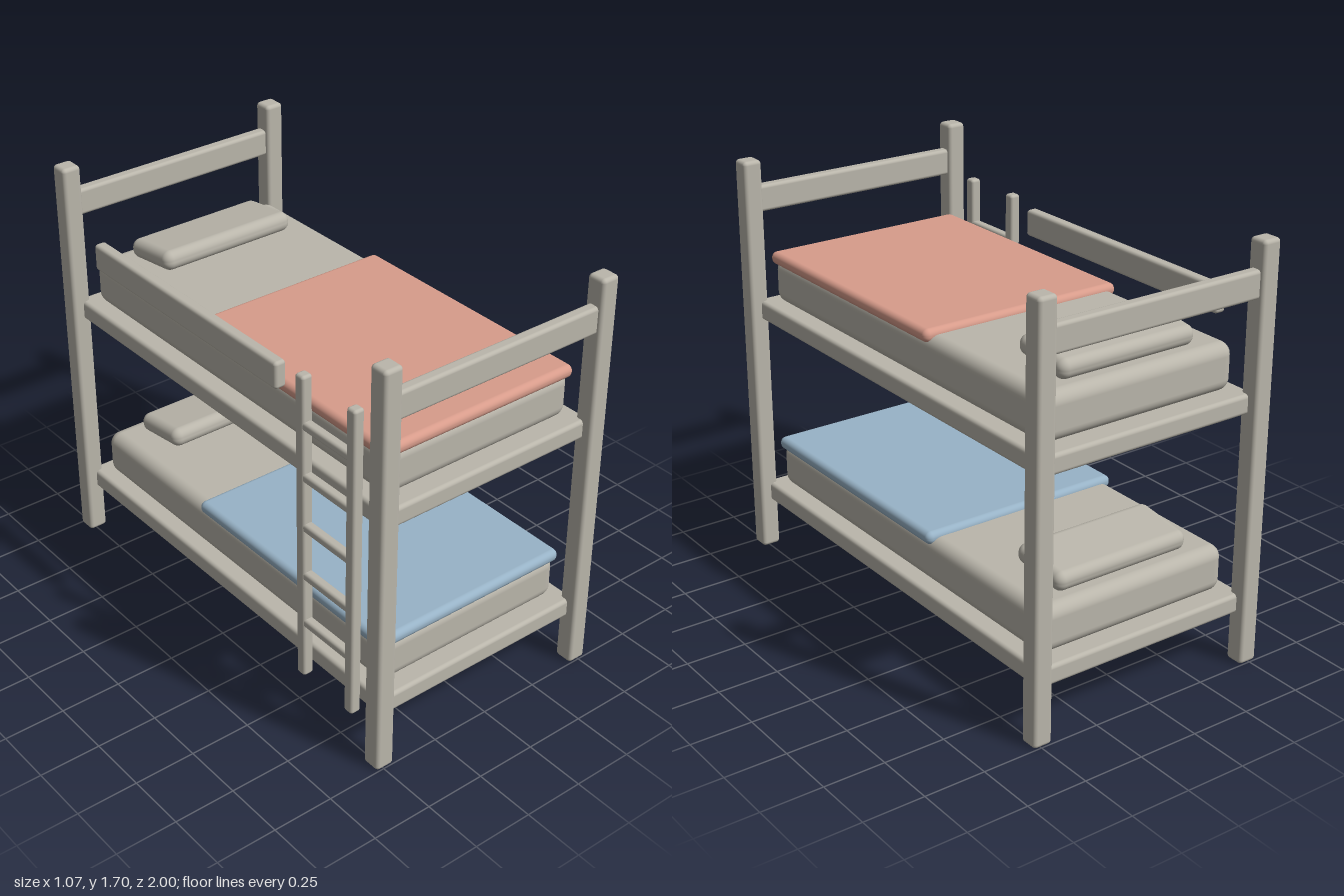
import * as THREE from 'three';
import { RoundedBoxGeometry } from 'three/addons/geometries/RoundedBoxGeometry.js';

const material = (name, color) => {
  const m = new THREE.MeshStandardMaterial({ color });
  m.name = name;
  return m;
};

export function createModel() {
  const model = new THREE.Group();
  model.name = 'bunkBed';
  const grey = material('warm grey', 0xbab6ab);
  const coral = material('coral blanket', 0xd89c8b);
  const blue = material('blue blanket', 0x98b3c7);

  // Rounded box given by its size, centre and edge radius
  const block = (parent, name, mat, size, centre, radius = 0.014, segments = 3) => {
    const mesh = new THREE.Mesh(new RoundedBoxGeometry(...size, segments, radius), mat);
    mesh.name = name;
    mesh.position.set(...centre);
    parent.add(mesh);
    return mesh;
  };

  // Corner posts and the high rail across each end
  for (const z of [-0.96, 0.96]) {
    for (const x of [-0.492, 0.492]) {
      block(model, 'post', grey, [0.08, 1.7, 0.08], [x, 0.85, z], 0.016);
    }
    block(model, 'endRail', grey, [0.96, 0.11, 0.05], [0, 1.535, z]);
  }

  // Two bunks: base, mattress, blanket and tilted pillow
  const bunk = (name, y, blanketMaterial) => {
    const group = new THREE.Group();
    group.name = name;
    group.position.y = y;
    block(group, 'base', grey, [0.97, 0.08, 1.92], [0, 0.04, 0], 0.016);
    block(group, 'mattress', grey, [0.87, 0.19, 1.8], [0, 0.175, 0], 0.05, 5);
    block(group, 'blanket', blanketMaterial, [0.89, 0.053, 1.12], [0, 0.267, 0.345], 0.025, 4);
    const pillow = block(group, 'pillow', grey, [0.61, 0.08, 0.265], [0, 0.317, -0.703], 0.036, 5);
    pillow.rotation.x = -0.13;
    model.add(group);
  };
  bunk('lowerBunk', 0.21, blue);
  bunk('upperBunk', 1.03, coral);

  // Guard rail beside the upper bunk
  block(model, 'guardRail', grey, [0.05, 0.11, 1.15], [-0.5, 1.4, -0.167]);

  // Ladder
  const ladder = new THREE.Group();
  ladder.name = 'ladder';
  ladder.position.x = -0.511;
  for (const z of [0.55, 0.828]) {
    block(ladder, 'ladderSide', grey, [0.046, 1.31, 0.046], [0, 0.825, z], 0.012);
  }
  for (let i = 0; i < 5; i++) {
    block(ladder, 'rung', grey, [0.04, 0.036, 0.27], [0, 0.42 + i * 0.215, 0.689], 0.012);
  }
  model.add(ladder);

  return model;
}
